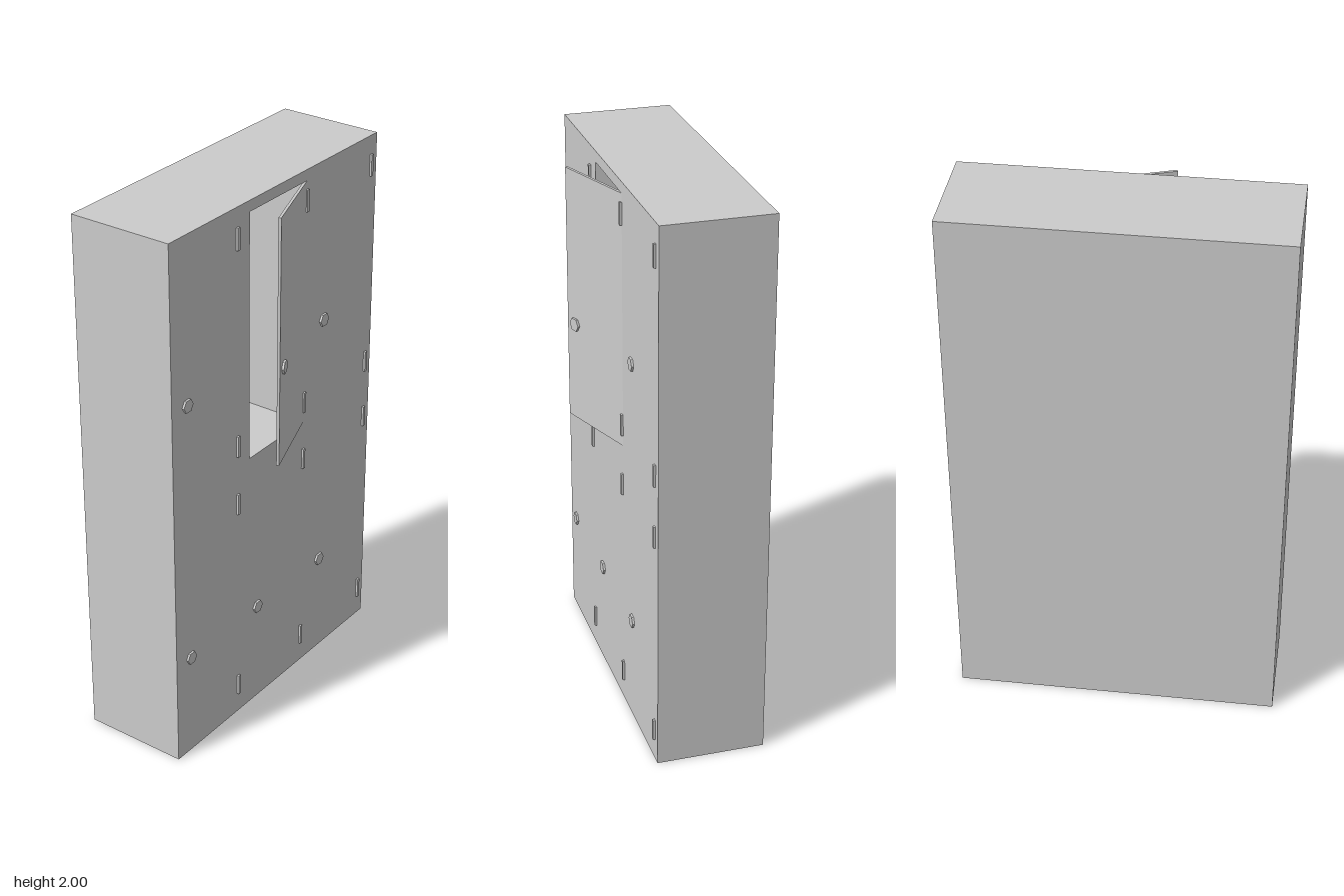
import * as THREE from 'three';

const W = 1.172, H = 2, FRONT = 0.136, BACK = -0.255;
const PITCH = 0.391, DOOR_W = 0.325, DOOR_H = 0.92, DOOR_T = 0.01, BACK_T = 0.03;
const material = new THREE.MeshStandardMaterial({ color: 0xcccccc, flatShading: true });

function add(parent, geometry, name, x, y, z) {
  const mesh = new THREE.Mesh(geometry, material);
  mesh.name = name;
  mesh.position.set(x, y, z);
  parent.add(mesh);
  return mesh;
}

function rectangle(path, x, y, w, h) {
  path.moveTo(x - w / 2, y - h / 2);
  path.lineTo(x + w / 2, y - h / 2);
  path.lineTo(x + w / 2, y + h / 2);
  path.lineTo(x - w / 2, y + h / 2);
  path.closePath();
  return path;
}

// Door hung from a pivot on its right-hand edge, with a six-sided knob
function makeDoor(angle) {
  const door = new THREE.Group();
  door.name = 'door';
  add(door, new THREE.BoxGeometry(DOOR_W, DOOR_H, DOOR_T), 'doorPanel', -DOOR_W / 2, 0, -DOOR_T / 2);
  const knob = new THREE.CylinderGeometry(0.025, 0.025, 0.008, 6);
  knob.rotateY(Math.PI / 6);
  knob.rotateX(Math.PI / 2);
  // put one corner of the hexagon on the horizontal axis
  knob.computeBoundingBox();
  if (knob.boundingBox.max.x < 0.024) knob.rotateZ(Math.PI / 6);
  add(door, knob, 'knob', -0.278, -0.1, 0.004);
  door.rotation.y = angle;
  return door;
}

export function createModel() {
  const locker = new THREE.Group();
  locker.name = 'lockerCabinet';

  // Carcass with six compartments, closed by a back panel
  const outline = rectangle(new THREE.Shape(), 0, H / 2, W, H);
  const cells = [];
  for (const y of [0.5, 1.5]) {
    for (const column of [-1, 0, 1]) {
      const x = column * PITCH;
      cells.push({ x, y, open: column === 0 && y === 1.5 });
      outline.holes.push(rectangle(new THREE.Path(), x, y, DOOR_W, DOOR_H));
    }
  }
  const carcass = new THREE.ExtrudeGeometry(outline, {
    depth: FRONT - BACK - BACK_T, bevelEnabled: false,
  });
  add(locker, carcass, 'carcass', 0, 0, BACK + BACK_T);
  add(locker, new THREE.BoxGeometry(W, H, BACK_T), 'backPanel', 0, H / 2, BACK + BACK_T / 2);

  // Flush doors, the upper middle one ajar, each with two hinges
  for (const { x, y, open } of cells) {
    const door = makeDoor(open ? THREE.MathUtils.degToRad(20) : 0);
    door.position.set(x + DOOR_W / 2, y, FRONT);
    locker.add(door);
    for (const dy of [-0.38, 0.39]) {
      add(locker, new THREE.BoxGeometry(0.012, 0.08, 0.016), 'hinge', x + 0.16, y + dy, FRONT);
    }
  }
  return locker;
}
